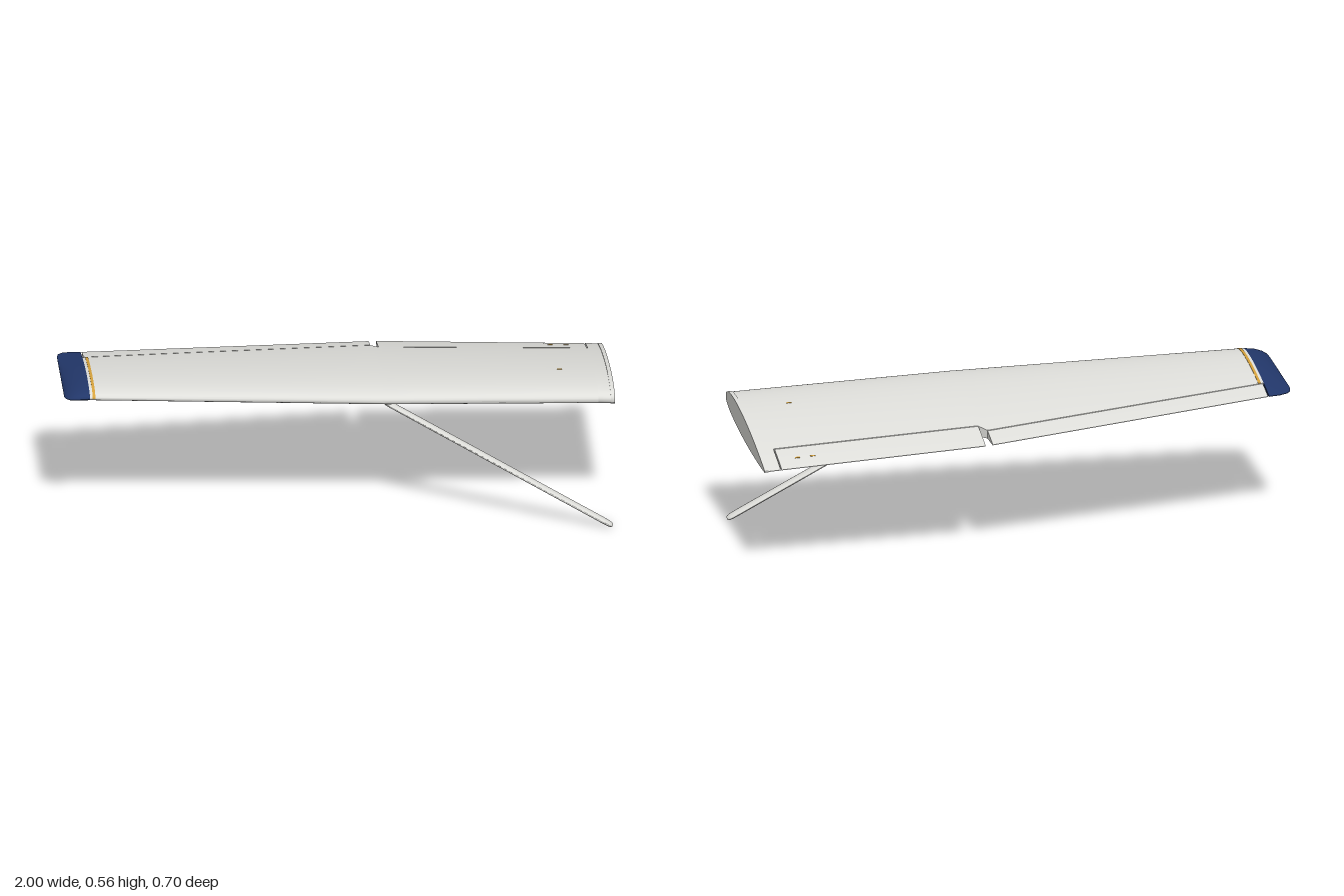
import * as THREE from 'three';
import { toCreasedNormals } from 'three/addons/utils/BufferGeometryUtils.js';

const { lerp, mapLinear } = THREE.MathUtils;

// Wing stations: x, leading z, trailing z, leading y, trailing y, upper and lower thickness
const STATIONS = [
  [-1, 0.19, -0.16, 0.524, 0.52, 0.001, 0.001],
  [-0.995, 0.212, -0.183, 0.526, 0.518, 0.009, 0.006],
  [-0.98, 0.23, -0.2, 0.529, 0.516, 0.018, 0.011],
  [-0.95, 0.239, -0.209, 0.533, 0.514, 0.027, 0.017],
  [-0.91, 0.24, -0.21, 0.535, 0.512, 0.032, 0.02],
  [0.17, 0.293, -0.35, 0.508, 0.452, 0.048, 0.031],
  [1, 0.298, -0.347, 0.487, 0.414, 0.052, 0.031],
];

function sectionAt(x) {
  let i = 0;
  while (i < STATIONS.length - 2 && x > STATIONS[i + 1][0]) i++;
  const a = STATIONS[i], b = STATIONS[i + 1];
  const k = (x - a[0]) / (b[0] - a[0]);
  return a.map((v, j) => lerp(v, b[j], k));
}

// Aerofoil height at chord fraction t: side +1 is the top, -1 the underside
function skinY(s, t, side) {
  const bulge = (Math.pow(t, 0.45) * Math.pow(Math.max(0, 1 - t), 0.9)) / 0.423;
  return lerp(s[3], s[4], t) + side * ((side > 0 ? s[5] : s[6]) * bulge + 0.001 * t);
}

const chordFraction = (s, z) => THREE.MathUtils.clamp((s[1] - z) / (s[1] - s[2]), 0, 1);

// Closed spanwise loft between a front and a back line across the chord
function panel(xs, { front, back, liftTop = 0, liftBottom = 0 } = {}) {
  const n = 22, ring = 2 * n + 2, pos = [], idx = [];
  xs.forEach((x) => {
    const s = sectionAt(x);
    const t0 = front ? chordFraction(s, front(x)) : 0;
    const t1 = back ? chordFraction(s, back(x)) : 1;
    for (let r = 0; r < ring; r++) {
      const top = r <= n;
      const f = (top ? n - r : r - n - 1) / n;
      const t = lerp(t0, t1, front ? f : Math.pow(f, 1.8));
      const y = skinY(s, t, top ? 1 : -1) + (top ? liftTop : -liftBottom);
      pos.push(x, y, lerp(s[1], s[2], t));
    }
  });
  for (let j = 0; j < xs.length - 1; j++) {
    for (let r = 0; r < ring; r++) {
      const a = j * ring + r, b = j * ring + ((r + 1) % ring);
      idx.push(a, b, b + ring, a, b + ring, a + ring);
    }
  }
  const last = (xs.length - 1) * ring;
  for (let i = 0; i < n; i++) {
    const q = [i, i + 1, ring - 2 - i, ring - 1 - i];
    const e = q.map((v) => v + last);
    idx.push(e[0], e[1], e[2], e[0], e[2], e[3]);
    idx.push(q[0], q[2], q[1], q[0], q[3], q[2]);
  }
  const g = new THREE.BufferGeometry();
  g.setAttribute('position', new THREE.Float32BufferAttribute(pos, 3));
  g.setIndex(idx);
  return toCreasedNormals(g, 0.7);
}

export function createModel() {
  const paint = new THREE.MeshStandardMaterial({ name: 'pale grey paint', color: 0xdededa });
  const navy = new THREE.MeshStandardMaterial({ name: 'navy paint', color: 0x22376a });
  const gold = new THREE.MeshStandardMaterial({ name: 'gold paint', color: 0xd6a23c });
  const wing = new THREE.Group();
  wing.name = 'wing';

  const add = (name, geometry, material) => {
    const mesh = new THREE.Mesh(geometry, material);
    mesh.name = name;
    wing.add(mesh);
    return mesh;
  };

  // Hinge line of the control surfaces, stepping forward at the flap bay
  const hinge = (x) => {
    if (x <= 0.15) return mapLinear(x, -0.91, 0.15, -0.12, -0.258);
    return x < 0.18 ? mapLinear(x, 0.15, 0.18, -0.258, -0.223) : -0.223;
  };
  const behindHinge = (x) => hinge(x) - 0.004;

  // Fixed wing structure
  add('mainWing', panel([-0.91, -0.55, -0.2, 0.15, 0.17, 0.18, 0.55, 0.94], { back: hinge }), paint);
  add('rootPanel', panel([0.94, 0.99]), paint);
  add('rootRib', panel([0.985, 1], { liftTop: 0.002, liftBottom: 0.002 }), paint);

  // Moving surfaces
  add('aileron', panel([-0.906, -0.55, -0.2, 0.15], { front: behindHinge }), paint);
  add('flap', panel([0.177, 0.2, 0.55, 0.936], { front: () => -0.227 }), paint);

  // Rounded wing tip and its trim stripe
  add('wingTip', panel([-1, -0.9985, -0.995, -0.988, -0.98, -0.965, -0.95, -0.93, -0.91]), navy);
  add('tipStripe', panel([-0.9, -0.89], { back: hinge, liftTop: 0.0015, liftBottom: -0.003 }), gold);

  // Small marker plates on the upper skin
  [[0.813, 0.083], [0.808, -0.29], [0.865, -0.29]].forEach(([x, z], i) => {
    const s = sectionAt(x), t = chordFraction(s, z);
    const plate = add('marker' + (i + 1), new THREE.BoxGeometry(0.018, 0.003, 0.006), gold);
    plate.position.set(x, skinY(s, t, 1), z);
    const slope = skinY(s, t - 0.02, 1) - skinY(s, t + 0.02, 1);
    plate.rotation.x = -Math.atan2(slope, 0.04 * (s[1] - s[2]));
  });

  // Streamlined strut with a rounded foot
  const foot = new THREE.Vector3(0.988, 0.003, 0.332);
  const head = new THREE.Vector3(0.165, 0.478, 0.219);
  const axis = head.clone().sub(foot);
  const length = axis.length();
  axis.normalize();
  const profile = [[0, 0], [0.55, 0.001], [0.8, 0.006], [0.95, 0.018], [1, 0.04], [1, length - 0.02], [0.85, length - 0.004], [0, length]];
  const strutShape = new THREE.LatheGeometry(profile.map(([r, y]) => new THREE.Vector2(r, y)), 28);
  strutShape.scale(0.023, 1, 0.009);
  const wide = new THREE.Vector3(0, 0, 1).addScaledVector(axis, -axis.z).normalize();
  const thin = new THREE.Vector3().crossVectors(wide, axis);
  strutShape.applyMatrix4(new THREE.Matrix4().makeBasis(wide, axis, thin).setPosition(foot));
  add('strut', toCreasedNormals(strutShape, 0.9), paint);

  return wing;
}
